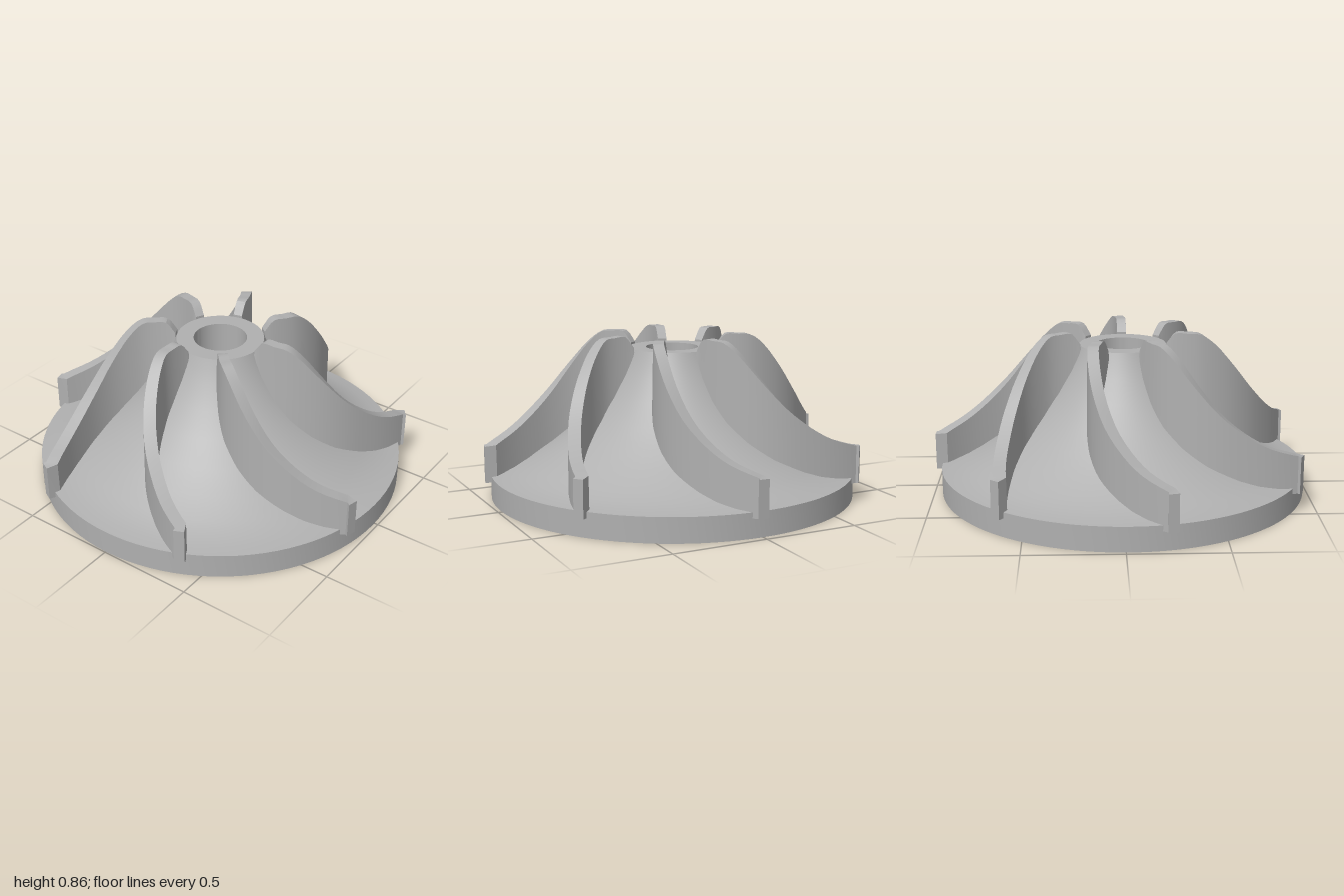
import * as THREE from 'three';
import { toCreasedNormals } from 'three/addons/utils/BufferGeometryUtils.js';

const BLADES = 7;

// Concave hub flank: [radius, height], rim to crown
const FLANK = [
  [0.98, 0.13], [0.92, 0.138], [0.85, 0.157], [0.78, 0.188], [0.66, 0.26],
  [0.55, 0.345], [0.45, 0.44], [0.36, 0.55], [0.29, 0.66], [0.25, 0.74], [0.23, 0.79],
];

// Blade stations: radius, sweep angle in degrees, height of the top edge
const STATIONS = [
  [0.235, 38.8, 0.80], [0.285, 38.6, 0.86], [0.35, 37.6, 0.86], [0.41, 35.8, 0.855],
  [0.48, 32.3, 0.80], [0.58, 26.6, 0.67], [0.68, 20, 0.53], [0.78, 13, 0.42],
  [0.87, 7.3, 0.35], [0.975, 0.9, 0.30],
];

function hubHeight(r) {
  for (let i = 1; i < FLANK.length; i++) {
    const [r0, y0] = FLANK[i - 1], [r1, y1] = FLANK[i];
    if (r >= r1 && r <= r0) return y0 + (y1 - y0) * (r0 - r) / (r0 - r1);
  }
  return r > 0.98 ? 0.13 : 0.79;
}

// Plan position: angle runs from the back (-z) towards +x
const plan = (r, a, y = 0) => new THREE.Vector3(r * Math.sin(a), y, -r * Math.cos(a));

function hubGeometry() {
  const profile = [[0.14, 0], [0.98, 0], ...FLANK, [0.14, 0.79], [0.14, 0]];
  const points = profile.map(([r, y]) => new THREE.Vector2(r, y));
  return toCreasedNormals(new THREE.LatheGeometry(points, 96), 0.6);
}

function bladeGeometry() {
  const path = new THREE.CatmullRomCurve3(STATIONS.map(
    ([r, deg, y]) => new THREE.Vector3(r, THREE.MathUtils.degToRad(deg), y)), false, 'centripetal');
  const steps = 27;
  const samples = path.getPoints(steps);
  const centres = samples.map((s) => plan(s.x, s.y));
  const up = new THREE.Vector3(0, 1, 0);
  const sections = [];

  // Four-cornered section: left bottom, left top, right top, right bottom
  const addSection = (c, along, bottom, top, halfBase, halfTop) => {
    const side = along.clone().normalize().cross(up);
    const corner = (w, y) => c.clone().addScaledVector(side, w).setY(y);
    sections.push([corner(-halfBase, bottom), corner(-halfTop, top),
      corner(halfTop, top), corner(halfBase, bottom)]);
  };
  samples.forEach((s, i) => {
    const along = centres[Math.min(i + 1, steps)].clone().sub(centres[Math.max(i - 1, 0)]);
    const bottom = Math.max(0.1, hubHeight(s.x) - 0.06);
    const taper = Math.min(1, i / steps * 1.5);
    addSection(centres[i], along, bottom, s.z, 0.034, 0.024 + 0.008 * taper);
  });
  // Square tip that overhangs the rim
  const tip = plan(1.013, 0.016);
  addSection(tip, plan(1, 0.016), 0.1, 0.295, 0.027, 0.027);

  const pos = [];
  const quad = (a, b, c, d) => [a, b, c, a, c, d].forEach((v) => pos.push(v.x, v.y, v.z));
  for (let i = 0; i < sections.length - 1; i++) {
    const a = sections[i], b = sections[i + 1];
    for (let k = 0; k < 4; k++) {
      const n = (k + 1) % 4;
      quad(a[k], a[n], b[n], b[k]);
    }
  }
  const first = sections[0], last = sections[sections.length - 1];
  quad(first[0], first[3], first[2], first[1]);
  quad(last[0], last[1], last[2], last[3]);

  const geometry = new THREE.BufferGeometry();
  geometry.setAttribute('position', new THREE.Float32BufferAttribute(pos, 3));
  return toCreasedNormals(geometry, 0.5);
}

export function createModel() {
  const model = new THREE.Group();
  model.name = 'impeller';
  const metal = new THREE.MeshStandardMaterial({ color: 0xb0b0b0 });
  metal.name = 'grey metal';

  const rotor = new THREE.Group();
  rotor.name = 'rotor';
  rotor.position.z = 0.015;
  model.add(rotor);

  // Bored hub and base disc
  const hub = new THREE.Mesh(hubGeometry(), metal);
  hub.name = 'hub';
  rotor.add(hub);

  // Swept blades
  const shape = bladeGeometry();
  for (let i = 0; i < BLADES; i++) {
    const blade = new THREE.Mesh(shape, metal);
    blade.name = `blade${i + 1}`;
    blade.rotation.y = -i * 2 * Math.PI / BLADES;
    rotor.add(blade);
  }
  return model;
}
